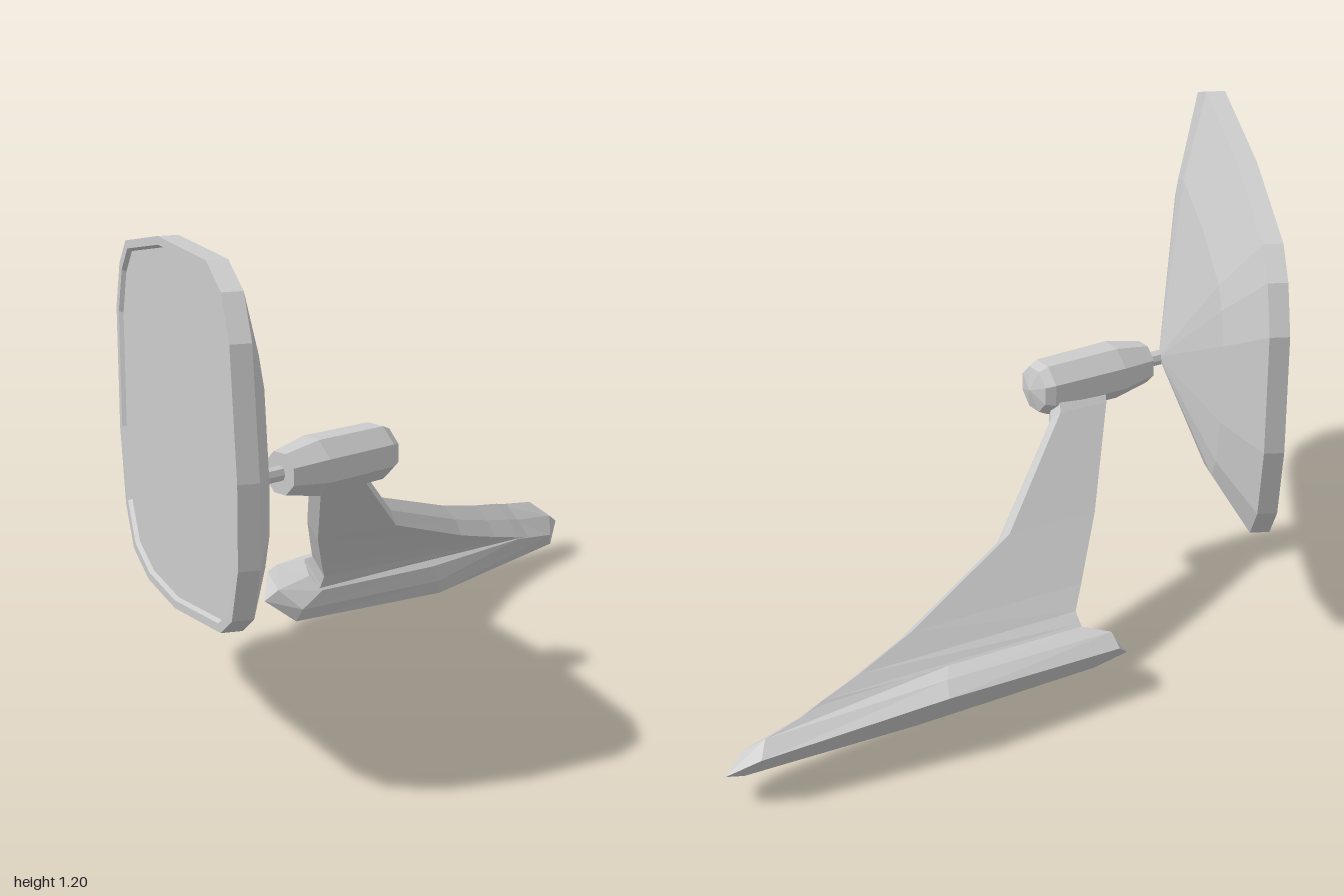
import * as THREE from 'three';

const material = new THREE.MeshStandardMaterial({ color: 0xcccccc, flatShading: true });
const openMaterial = new THREE.MeshStandardMaterial({ color: 0xcccccc, flatShading: true, side: THREE.DoubleSide });

const V = (x, y, z) => new THREE.Vector3(x, y, z);

function centroid(points) {
  return points.reduce((sum, p) => sum.add(p), V(0, 0, 0)).divideScalar(points.length);
}

// Skins closed rings of points; each end is closed with a fan to its tip point.
function loft(rings, startTip = centroid(rings[0]), endTip = centroid(rings[rings.length - 1])) {
  const n = rings[0].length;
  const last = rings[rings.length - 1];
  const tris = [];
  for (let i = 0; i < n; i++) {
    const j = (i + 1) % n;
    tris.push([startTip, rings[0][j], rings[0][i]]);
    for (let r = 0; r + 1 < rings.length; r++) {
      const a = rings[r], b = rings[r + 1];
      tris.push([a[i], a[j], b[j]], [a[i], b[j], b[i]]);
    }
    tris.push([endTip, last[i], last[j]]);
  }
  // Turn the faces outwards if the rings run the other way round
  const volume = tris.reduce((s, [a, b, c]) => s + a.dot(b.clone().cross(c)), 0);
  if (volume < 0) tris.forEach((t) => t.reverse());
  const geometry = new THREE.BufferGeometry().setFromPoints(tris.flat());
  geometry.computeVertexNormals();
  return geometry;
}

function addMesh(parent, name, geometry, mat = material) {
  const mesh = new THREE.Mesh(geometry, mat);
  mesh.name = name;
  parent.add(mesh);
  return mesh;
}

// Mirror head: rounded outline on a slanted plane, domed towards the hub
function buildHead(parent) {
  const outline = [
    [0.34, 1.205], [0.46, 1.16], [0.52, 1.06], [0.565, 0.765], [0.56, 0.57], [0.505, 0.44],
    [0.41, 0.38], [0, 0.297], [-0.26, 0.283], [-0.41, 0.315], [-0.485, 0.41], [-0.53, 0.6],
    [-0.535, 0.91], [-0.49, 1.03], [-0.42, 1.1], [-0.09, 1.175],
  ];
  const edge = outline.map(([z, y]) => V(-0.68 - 0.482 * z, y, z));
  const apex = V(-0.53, 0.605, 0.08);
  const centre = V(-0.69, 0.74, 0.015);
  const backward = V(-0.9, 0, -0.435);
  const offset = (scale, depth) => edge.map((p) =>
    centre.clone().lerp(p, scale).addScaledVector(backward, depth));

  const dome = edge.map((p) => p.clone().lerp(apex, 0.33).add(V(0.023, 0, 0)));
  const recess = offset(0.94, 0.038);
  addMesh(parent, 'mirrorShell', loft([dome, edge, offset(1, 0.05), offset(0.955, 0.05), recess], apex));

  // Glass pane lying just above the floor of the recess
  const pane = recess.map((p) => p.clone().addScaledVector(backward, 0.002));
  const glass = new THREE.BufferGeometry().setFromPoints(
    pane.flatMap((p, i) => [centroid(pane), p, pane[(i + 1) % pane.length]]));
  glass.computeVertexNormals();
  addMesh(parent, 'mirrorGlass', glass, openMaterial);
}

// Eight-sided hub with its pivot rod, lying along x
function buildHub(parent) {
  const hub = new THREE.Group();
  hub.name = 'hub';
  hub.position.set(0, 0.603, 0.08);
  parent.add(hub);
  const profile = [[0, -0.48], [0.055, -0.48], [0.075, -0.38], [0.072, -0.17], [0.06, -0.145], [0, -0.13]];
  const body = addMesh(hub, 'hubBody',
    new THREE.LatheGeometry(profile.map(([r, x]) => new THREE.Vector2(r, x)), 8, Math.PI / 8));
  body.rotation.z = -Math.PI / 2;
  const rod = addMesh(hub, 'pivotRod', new THREE.CylinderGeometry(0.02, 0.02, 0.09, 8));
  rod.rotation.z = Math.PI / 2;
  rod.position.x = -0.505;
}

// Foot and arm, built upright and then leaned forward together
function buildStand(parent) {
  const stand = new THREE.Group();
  stand.name = 'stand';
  stand.position.set(0, 0.085, -0.418);
  stand.rotation.x = 0.77;
  parent.add(stand);

  // Foot: half outlines [x, half width] at rising heights
  const footRings = [
    [0, [[-0.11, 0], [-0.05, 0.08], [0.45, 0.115], [0.93, 0.065], [1, 0]]],
    [0.047, [[-0.09, 0], [-0.05, 0.072], [0.43, 0.1], [0.9, 0.058], [0.94, 0]]],
    [0.085, [[-0.005, 0], [0.01, 0.05], [0.4, 0.07], [0.74, 0.06], [0.76, 0]]],
  ].map(([h, half]) => [
    ...half.map(([x, w]) => V(x, h, w)),
    ...half.slice(1, -1).reverse().map(([x, w]) => V(x, h, -w)),
  ]);
  addMesh(stand, 'foot', loft(footRings));

  // Arm sections: height, trailing x, leading x, trailing and leading half widths
  const armRings = [
    [0.07, 0.005, 0.8, 0.045, 0.058],
    [0.095, 0.005, 0.73, 0.04, 0.058],
    [0.13, 0, 0.62, 0.032, 0.054],
    [0.193, -0.045, 0.45, 0.03, 0.05],
    [0.36, -0.16, 0.1, 0.028, 0.045],
    [0.63, -0.315, -0.17, 0.028, 0.038],
    [0.7, -0.34, -0.2, 0.026, 0.034],
  ].map(([h, back, front, wb, wf]) => [
    V(back, h, -wb), V(front, h, -wf), V(front + 0.012, h, 0), V(front, h, wf), V(back, h, wb),
  ]);
  addMesh(stand, 'arm', loft(armRings));
}

export function createModel() {
  const model = new THREE.Group();
  model.name = 'sideMirror';
  buildHead(model);
  buildHub(model);
  buildStand(model);
  return model;
}
